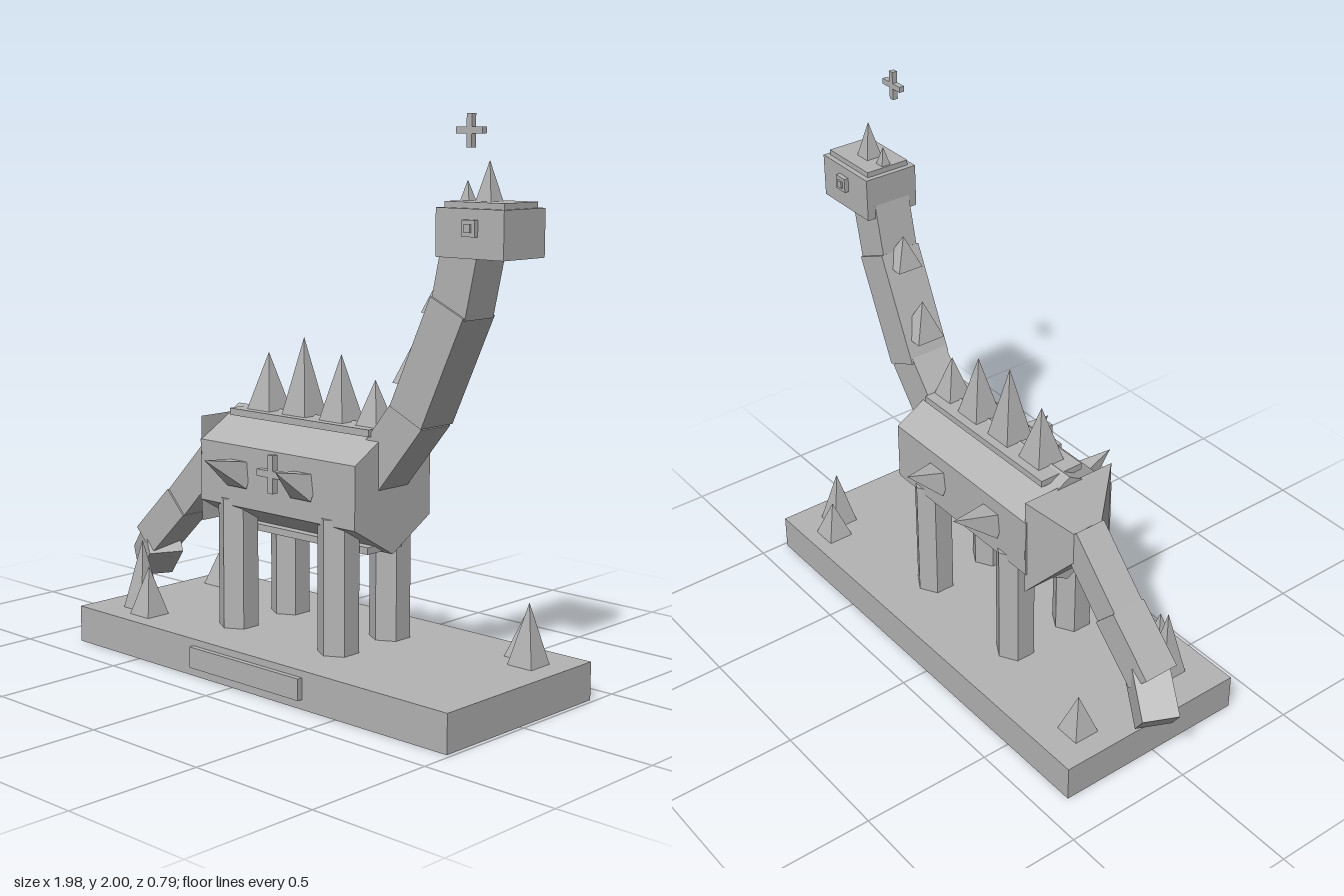
import * as THREE from 'three';

export function createModel() {
  const model = new THREE.Group();
  const stone = new THREE.MeshStandardMaterial({ color: 0xb3b3b3 });
  stone.name = 'stone grey';
  const Z = -0.01; // centre plane of the creature
  const UP = new THREE.Vector3(0, 1, 0);

  const add = (name, geometry, parent = model) => {
    const flat = geometry.index ? geometry.toNonIndexed() : geometry;
    flat.computeVertexNormals();
    const mesh = new THREE.Mesh(flat, stone);
    mesh.name = name;
    parent.add(mesh);
    return mesh;
  };

  // Box given by its minimum and maximum corners
  const box = (name, x0, x1, y0, y1, z0, z1) => {
    const mesh = add(name, new THREE.BoxGeometry(x1 - x0, y1 - y0, z1 - z0));
    mesh.position.set((x0 + x1) / 2, (y0 + y1) / 2, (z0 + z1) / 2);
    return mesh;
  };

  // Square pyramid from the centre of its base to its tip
  const spike = (name, base, tip, half) => {
    const a = new THREE.Vector3(...base), b = new THREE.Vector3(...tip);
    const height = a.distanceTo(b);
    const geometry = new THREE.ConeGeometry(half * Math.SQRT2, height, 4)
      .rotateY(Math.PI / 4).translate(0, height / 2, 0);
    const mesh = add(name, geometry);
    mesh.position.copy(a);
    mesh.quaternion.setFromUnitVectors(UP, b.sub(a).normalize());
    return mesh;
  };

  // Square beam running between two points
  const beam = (name, from, to, thick, width) => {
    const a = new THREE.Vector3(...from), b = new THREE.Vector3(...to);
    const mesh = add(name, new THREE.BoxGeometry(width, thick, a.distanceTo(b)));
    mesh.position.copy(a).add(b).multiplyScalar(0.5);
    mesh.lookAt(b);
    return mesh;
  };

  // Small upright cross
  const cross = (name, x, y, z, size, bar) => {
    const group = new THREE.Group();
    group.name = name;
    group.position.set(x, y, z);
    add('crossUpright', new THREE.BoxGeometry(bar, size, bar), group);
    for (const s of [-1, 1]) {
      const length = (size - bar) / 2;
      add('crossArm', new THREE.BoxGeometry(length, bar, bar), group).position.x = s * (bar + length) / 2;
    }
    model.add(group);
  };

  // Base with front plaque and ground spikes
  box('base', -0.84, 0.985, 0, 0.137, -0.393, 0.375);
  box('plaque', -0.2, 0.345, 0.035, 0.112, 0.37, 0.395);
  const ground = [[-0.66, 0.215, 0.4], [-0.57, 0.262, 0.32], [-0.705, -0.24, 0.29],
    [0.78, -0.287, 0.285], [0.85, -0.217, 0.355]];
  for (const [x, z, top] of ground) spike('groundSpike', [x, 0.13, z], [x, top, z], 0.053);

  // Hexagonal body with a plate along the back and the belly
  const body = add('body', new THREE.CylinderGeometry(0.225, 0.225, 0.77, 6)
    .rotateY(Math.PI / 6).rotateZ(Math.PI / 2));
  body.position.set(0.025, 0.71, Z);
  box('backPlate', -0.315, 0.375, 0.905, 0.93, Z - 0.09, Z + 0.09);
  box('bellyPlate', -0.315, 0.375, 0.492, 0.517, Z - 0.09, Z + 0.09);

  // Legs
  for (const x of [-0.225, 0.278]) {
    for (const s of [-1, 1]) {
      const leg = add('leg', new THREE.CylinderGeometry(0.075, 0.075, 0.49, 6));
      leg.position.set(x, 0.375, Z + s * 0.135);
    }
  }

  // Spikes on the back
  for (const [x, top, half] of [[-0.2, 1.14, 0.058], [-0.02, 1.21, 0.058],
    [0.163, 1.165, 0.057], [0.325, 1.09, 0.05]]) {
    spike('backSpike', [x, 0.925, Z], [x, top, Z], half);
  }

  // Spikes on both flanks, tilted upward
  for (const s of [-1, 1]) {
    spike('flankSpike', [-0.16, 0.718, Z + s * 0.185], [-0.16, 0.79, Z + s * 0.36], 0.05);
    spike('flankSpike', [0.163, 0.718, Z + s * 0.185], [0.163, 0.785, Z + s * 0.328], 0.05);
  }

  // Neck with two spikes
  beam('neckLower', [0.33, 0.745, Z], [0.54, 1.002, Z], 0.154, 0.152);
  beam('neckMiddle', [0.534, 0.99, Z], [0.709, 1.374, Z], 0.154, 0.165);
  beam('neckUpper', [0.705, 1.35, Z], [0.76, 1.6, Z], 0.152, 0.148);
  spike('neckSpike', [0.512, 1.1, Z], [0.505, 1.245, Z], 0.058);
  spike('neckSpike', [0.625, 1.35, Z], [0.615, 1.47, Z], 0.052);

  // Head, crown plate, horns and eyes
  box('head', 0.68, 0.96, 1.54, 1.7, Z - 0.107, Z + 0.107);
  box('crownPlate', 0.7, 0.945, 1.695, 1.72, Z - 0.087, Z + 0.087);
  spike('hornLarge', [0.815, 1.7, Z], [0.815, 1.852, Z], 0.037);
  spike('hornSmall', [0.727, 1.7, Z], [0.725, 1.787, Z], 0.024);
  for (const s of [-1, 1]) {
    const eye = add('eye', new THREE.BoxGeometry(0.054, 0.054, 0.03));
    eye.position.set(0.828, 1.638, Z + s * 0.109);
    const pupil = add('pupil', new THREE.BoxGeometry(0.026, 0.026, 0.008));
    pupil.position.set(0.828, 1.638, Z + s * 0.127);
  }

  // Tail root and three tail segments, the last one bent sideways
  spike('tailRoot', [-0.355, 0.713, Z], [-0.515, 0.713, Z], 0.195);
  beam('tailUpper', [-0.43, 0.745, Z], [-0.648, 0.52, Z], 0.125, 0.126);
  beam('tailMiddle', [-0.645, 0.523, Z], [-0.83, 0.345, Z], 0.127, 0.14);
  beam('tailTip', [-0.785, 0.352, 0], [-0.925, 0.23, -0.066], 0.13, 0.135);

  // Floating crosses by the flank and above the head
  cross('flankCross', 0.07, 0.757, 0.24, 0.137, 0.025);
  cross('headCross', 0.85, 1.948, 0.13, 0.107, 0.021);

  return model;
}
